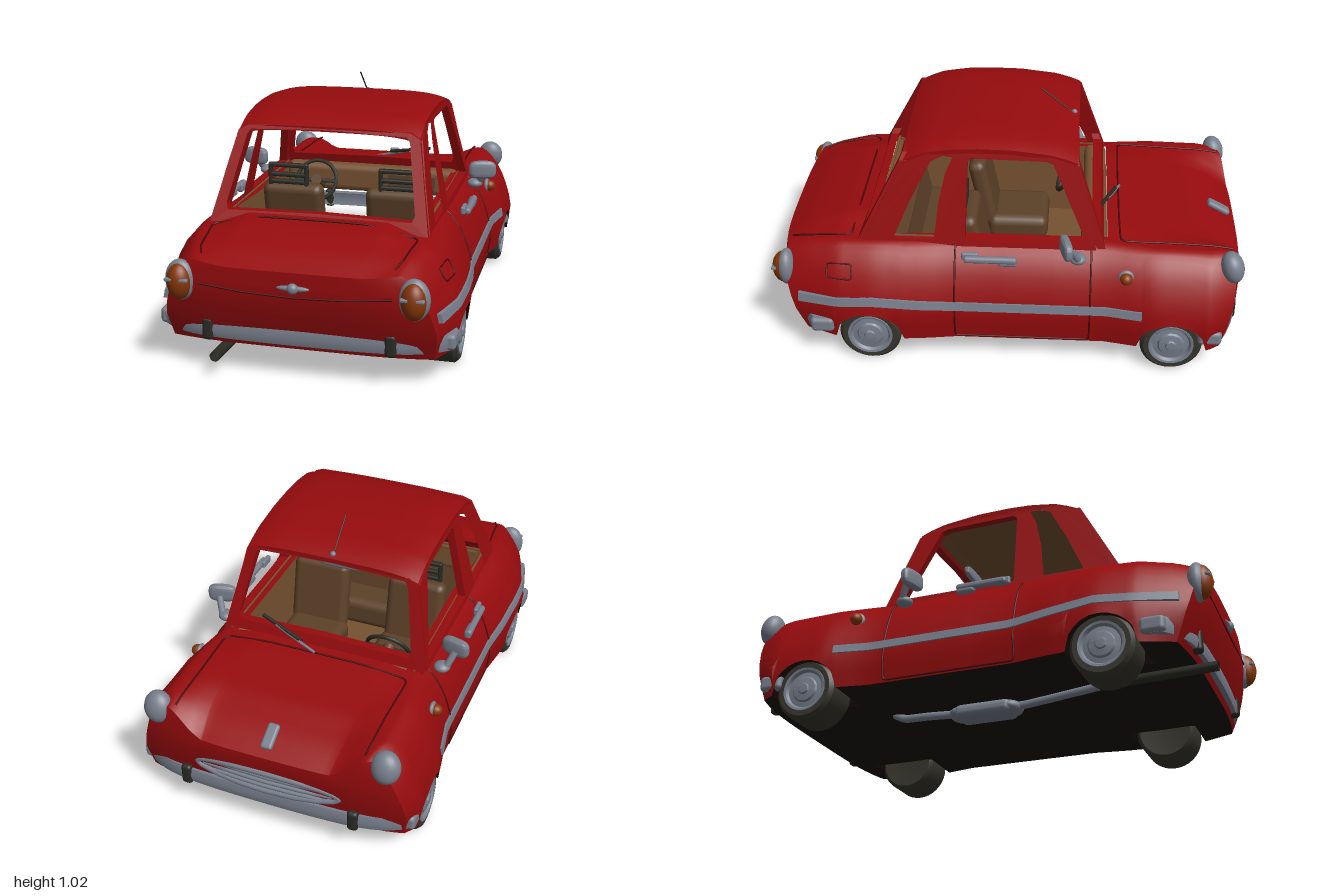
import * as THREE from 'three';
import { mergeVertices, toCreasedNormals } from 'three/addons/utils/BufferGeometryUtils.js';
import { RoundedBoxGeometry } from 'three/addons/geometries/RoundedBoxGeometry.js';

const mat = (name, color, side = THREE.FrontSide) => Object.assign(new THREE.MeshStandardMaterial({ color, side }), { name });
const V = (x, y, z) => new THREE.Vector3(x, y, z);
const clamp = THREE.MathUtils.clamp;

// piecewise linear table lookup
function at(table, t) {
  for (let i = 1; i < table.length; i++) {
    const [a, p] = table[i - 1], [b, q] = table[i];
    if (t <= b) return p + (q - p) * clamp((t - a) / (b - a), 0, 1);
  }
  return table[table.length - 1][1];
}

// body outline: half width along z, width factor by height, top line at centre and at the fenders
const WIDTH = [[-1, .57], [-.93, .59], [-.85, .61], [-.62, .61], [-.42, .572], [.2, .572], [.35, .595], [.55, .612], [.7, .6], [.85, .565], [.96, .54]];
const FLANK = [[0, .975], [.3, 1], [.5, .975], [.7, .925], [.85, .87], [.95, .81], [1, .76]];
const CENTRE = [[-1, .4], [-.9, .46], [-.75, .51], [-.45, .55], [0, .54], [.55, .575], [.7, .56], [.85, .515], [.96, .46]];
const FENDER = [[-1, .5], [-.9, .52], [-.45, .53], [.55, .53], [.7, .525], [.85, .505], [.96, .475]];
const ROOF = [[-.29, .908], [-.25, .925], [-.18, .945], [-.02, .963], [.12, .965], [.22, .96], [.33, .943], [.39, .92], [.43, .9]];
const AXLES = [-.7, .57], WHEEL_R = .13, ARCH = .145;

const deckY = (x, z) => THREE.MathUtils.lerp(at(CENTRE, z), at(FENDER, z), THREE.MathUtils.smoothstep(Math.abs(x), .27, .43));
const sideX = (z, y) => at(WIDTH, z) * at(FLANK, (y - .12) / (at(FENDER, z) - .12));

// move every vertex of a geometry by a rule
function warp(geo, rule) {
  const p = geo.attributes.position;
  for (let i = 0; i < p.count; i++) p.setXYZ(i, ...rule(p.getX(i), p.getY(i), p.getZ(i)));
  geo.computeVertexNormals();
  return geo;
}
function smooth(geo, angle = .7) {
  geo.deleteAttribute('normal');
  geo.deleteAttribute('uv');
  return toCreasedNormals(mergeVertices(geo, 1e-5), angle);
}

function bodyShell() {
  const half = [0, .2, .4, .55, .62, .64, .75, .88, .95, 1];
  const us = [...half.slice(1).reverse().map(u => -u), ...half];
  const vs = [0, .15, .3, .45, .6, .72, .82, .9, .96, 1];
  const ss = [-.992, -.96, -.93, -.89, -.5, -.42, -.36, -.2, 0, .2, .3, .36, .75, .8, .85, .9, .935, .957];
  for (const c of AXLES) for (const k of [0, 2, 3, 4, 5, 6, 7, 8, 9, 10, 12]) ss.push(c + ARCH * Math.cos(k * Math.PI / 12));
  ss.sort((a, b) => a - b);
  const nx = us.length - 1, ny = vs.length - 1, nz = ss.length - 1;
  const geo = new THREE.BoxGeometry(1, 1, 1, nx, ny, nz);
  const p = geo.attributes.position, open = [];
  const pick = (list, n, t) => list[Math.round((t + .5) * n)];
  for (let i = 0; i < p.count; i++) {
    const u = pick(us, nx, p.getX(i)), v = pick(vs, ny, p.getY(i)), s = pick(ss, nz, p.getZ(i));
    open.push(v === 1 && Math.abs(u) <= .881 && s >= -.421 && s <= .571);
    // wheel arches lift the lower edge
    let low = .12;
    if (Math.abs(u) > .63) for (const c of AXLES) {
      const d = ARCH * ARCH - (s - c) ** 2;
      if (d > 0) low = Math.max(low, .12 + Math.sqrt(d) * .9);
    }
    const top = deckY(u * at(WIDTH, s) * .76, s), y = low + (top - low) * v;
    const x = u * at(WIDTH, s) * at(FLANK, (y - .12) / (top - .12));
    // rounded corners and tucked-under lower edge at nose and tail
    const under = clamp((.38 - y) / .26, 0, 1) ** 1.4;
    const tail = clamp((s - .72) / .235, 0, 1) * (.03 * u ** 4 + .08 * under);
    const nose = clamp((-.85 - s) / .142, 0, 1) * (.04 * u ** 4 + .05 * under);
    p.setXYZ(i, x, y, s - tail + nose);
  }
  // leave the cabin open and group the floor apart
  const idx = geo.index.array, floor = geo.groups[3], paint = [], under = [];
  for (let i = 0; i < idx.length; i += 3) {
    const t = [idx[i], idx[i + 1], idx[i + 2]];
    if (t.every(k => open[k])) continue;
    (i >= floor.start && i < floor.start + floor.count ? under : paint).push(...t);
  }
  geo.setIndex([...paint, ...under]);
  geo.clearGroups();
  geo.addGroup(0, paint.length, 0);
  geo.addGroup(paint.length, under.length, 1);
  return smooth(geo);
}

const shapeOf = (pts, holes = []) => {
  const s = new THREE.Shape(pts.map(q => new THREE.Vector2(...q)));
  s.holes = holes.map(h => new THREE.Path(h.map(q => new THREE.Vector2(...q))));
  return s;
};
const extrude = (shape, depth) => new THREE.ExtrudeGeometry(shape, { depth, bevelEnabled: false });
// soft-cornered pad, fuller than an ellipsoid
const puff = t => Math.sign(t) * Math.abs(t) ** .6;
const pad = (a, b, c) => smooth(warp(new THREE.SphereGeometry(1, 28, 18), (x, y, z) => [a * puff(x), b * puff(y), c * puff(z)]), 1);

export function createModel() {
  const car = new THREE.Group();
  car.name = 'car';
  const red = mat('red paint', 0x960b0d), chrome = mat('chrome', 0x787f8c), rubber = mat('tyre rubber', 0x36352c),
    dark = mat('dark trim', 0x2a2a24, THREE.DoubleSide), amber = mat('amber lens', 0x843606), tan = mat('tan lining', 0x765231, THREE.DoubleSide),
    seatMat = mat('seat brown', 0x5c4128), floorMat = mat('underbody', 0x180a08), seam = mat('seam', 0x4a0607);
  const add = (name, geo, m, x = 0, y = 0, z = 0, parent = car) => {
    const mesh = new THREE.Mesh(geo, m);
    mesh.name = name;
    mesh.position.set(x, y, z);
    parent.add(mesh);
    return mesh;
  };
  const rbox = (w, h, d, r = .01) => new RoundedBoxGeometry(w, h, d, 2, r);
  const tube = (name, pts, r, m, closed = false) =>
    add(name, new THREE.TubeGeometry(new THREE.CatmullRomCurve3(pts, closed, 'catmullrom', .15), pts.length * 8, r, 10, closed), m);
  const ball = (name, m, x, y, z, a, b, c) => {
    const mesh = add(name, new THREE.SphereGeometry(1, 24, 16), m, x, y, z);
    mesh.scale.set(a, b, c);
    return mesh;
  };

  add('body', bodyShell(), [red, floorMat]);

  // roof and its lining
  const roofRule = drop => (x, y, z) => [x * .379, at(ROOF, z) - .024 * Math.abs(x) ** 6 - .006 * x * x + y - drop, z];
  const roofBox = h => new THREE.BoxGeometry(2, h, .72, 24, 1, 30).translate(0, 0, .07);
  add('roof', smooth(warp(roofBox(.02), roofRule(.01))), red);
  add('roofLining', warp(roofBox(.003).scale(.93, 1, .95), roofRule(.023)), tan);

  // window frames
  const flank = shapeOf([[-.375, .51], [-.285, .87], [-.25, .885], [-.18, .905], [-.02, .925], [.2, .923], [.33, .905], [.42, .865], [.5, .73], [.58, .56], [.6, .51]], [
    [[.17, .54], [.16, .875], [.145, .892], [-.16, .887], [-.19, .875], [-.335, .54]],
    [[.3, .54], [.28, .7], [.25, .83], [.22, .895], [.26, .9], [.31, .875], [.4, .7], [.47, .54]]]);
  const lean = y => .452 - (y - .54) * .2;
  for (const s of [1, -1])
    add('sideWindowFrame', warp(extrude(flank, .035), (p, q, r) => [s > 0 ? lean(q) - r : .035 - lean(q) - r, q, p]), red);
  const pane = shapeOf([[-.452, .52], [.452, .52], [.38, .872], [.34, .893], [.2, .9], [-.2, .9], [-.34, .893], [-.38, .872]],
    [[[-.39, .6], [-.38, .575], [0, .582], [.38, .575], [.39, .6], [.34, .86], [.325, .878], [0, .888], [-.325, .878], [-.34, .86]]]);
  add('windscreenFrame', warp(extrude(pane, .035), (x, y, r) => [x, y, -.405 + (y - .54) * .33 + r]), red);
  add('rearWindowFrame', warp(extrude(pane, .035), (x, y, r) => [x, y, .578 - (y - .54) * .52 + r]), red);

  // cabin tub
  add('cabinFloor', new THREE.BoxGeometry(.84, .01, .98), tan, 0, .16, .08);
  for (const s of [1, -1]) add('doorCard', new THREE.BoxGeometry(.01, .38, .98), tan, s * .415, .345, .08);
  add('rearBulkhead', new THREE.BoxGeometry(.84, .39, .01), tan, 0, .35, .56);
  add('parcelShelf', new THREE.BoxGeometry(.82, .015, .13), seatMat, 0, .51, .485);
  add('shelfEdge', new THREE.BoxGeometry(.78, .02, .03), tan, 0, .525, .555);
  add('dashboard', rbox(.82, .13, .1, .03), tan, 0, .475, -.37);
  add('gloveBox', rbox(.22, .07, .01, .004), seatMat, .2, .475, -.317);
  add('rearBenchSeat', rbox(.74, .14, .2, .04), seatMat, 0, .24, .36);
  add('rearBenchBack', rbox(.74, .26, .08, .03), seatMat, 0, .38, .46).rotation.x = .2;
  for (const s of [1, -1]) {
    add('seatCushion', rbox(.28, .12, .28, .04), seatMat, s * .22, .25, -.02);
    add('seatBack', rbox(.27, .33, .08, .035), seatMat, s * .23, .42, .14).rotation.x = .2;
    for (const y of [.59, .622, .664]) add('headrestBar', rbox(.17, .02, .025, .008), dark, s * .245, y, .19);
    for (const dx of [-.08, .08]) add('headrestPost', rbox(.018, .1, .025, .007), dark, s * .245 + dx, .624, .19);
  }
  const steering = new THREE.Group();
  steering.name = 'steeringWheel';
  steering.position.set(-.24, .48, -.24);
  steering.rotation.x = -.45;
  car.add(steering);
  add('rim', new THREE.TorusGeometry(.095, .009, 8, 32), dark, 0, 0, 0, steering);
  add('spoke', rbox(.18, .018, .012, .005), dark, 0, 0, 0, steering);
  add('hub', new THREE.CylinderGeometry(.025, .025, .09, 16).rotateX(Math.PI / 2), seatMat, 0, 0, -.035, steering);

  // wheels
  const lathe = pts => new THREE.LatheGeometry(pts.map(q => new THREE.Vector2(...q)), 36);
  const tyre = toCreasedNormals(lathe([[0, -.08], [.085, -.085], [.115, -.088], [WHEEL_R, -.07], [WHEEL_R, .07], [.116, .086], [.09, .085], [.086, .06], [0, .06]]), .7);
  const hubcap = toCreasedNormals(lathe([[.096, .08], [.094, .09], [.084, .088], [.076, .076], [.056, .079], [.05, .087], [.024, .091], [.02, .097], [0, .099]]), .6);
  for (const s of [1, -1]) for (const z of AXLES) {
    const wheel = new THREE.Group();
    wheel.name = 'wheel';
    wheel.position.set(s * .498, WHEEL_R + .003, z);
    wheel.rotation.z = -s * Math.PI / 2;
    car.add(wheel);
    add('tyre', tyre, rubber, 0, 0, 0, wheel);
    add('hubcap', hubcap, chrome, 0, 0, 0, wheel);
  }

  // bumpers, wrapped round the corners
  for (const [name, dir, zc, wrap] of [['rearBumper', 1, .9, .09], ['frontBumper', -1, .968, .07]]) {
    const bend = x => dir * (zc - .02 * (x / .585) ** 2 - wrap * Math.abs(x / .585) ** 6);
    add(name, smooth(warp(new THREE.BoxGeometry(1.17, .066, .04, 32, 2, 1), (x, y, z) => [x, y + .18, bend(x) + z - dir * y * y * 8])), chrome);
    for (const s of [1, -1]) {
      add('bumperGuard', rbox(.046, .095, .055, .015), dark, s * .365, .182, bend(.365));
      add('bumperEnd', rbox(.05, .066, .1, .018), chrome, s * .575, .18, bend(.585) - dir * .02);
    }
  }

  // nose: grille and bonnet trim
  const mouth = Array.from({ length: 16 }, (_, i) => {
    const a = i * Math.PI / 8, x = .31 * Math.cos(a);
    return V(x, .275 + .045 * Math.sin(a), -.986 + .2 * x * x);
  });
  tube('grilleSurround', mouth, .013, chrome, true);
  for (const [y, w] of [[.252, .24], [.275, .28], [.298, .24]])
    tube('grilleBar', [-w, -w / 2, 0, w / 2, w].map(x => V(x, y, -.984 + .2 * x * x)), .009, chrome);
  add('bonnetTrim', rbox(.05, .026, .11, .012), chrome, 0, .46, -.92).rotation.x = -.5;

  // boot handle
  ball('bootHandle', chrome, 0, .4, .957, .065, .012, .012);
  ball('bootKnob', chrome, 0, .4, .96, .022, .022, .02);

  const mirrorPad = pad(.062, .041, .02);
  for (const s of [1, -1]) {
    // lamps
    ball('headlight', chrome, s * .488, .475, -.935, .06, .07, .048).rotation.x = .25;
    ball('tailLightRim', chrome, s * .46, .387, .928, .061, .083, .04);
    ball('tailLightLens', amber, s * .46, .385, .94, .05, .074, .05);
    add('tailLightBand', rbox(.094, .014, .02, .005), chrome, s * .46, .4, .976);
    ball('sideMarkerBase', chrome, s * sideX(-.5, .435), .435, -.5, .015, .033, .033);
    ball('sideMarker', amber, s * (sideX(-.5, .435) + .014), .435, -.5, .028, .026, .026);

    // side strip following the flank
    const stripY = [[-.57, .285], [.2, .285], [.38, .3], [.55, .316], [.7, .303], [.87, .298]];
    add('sideStrip', warp(new THREE.BoxGeometry(1.44, .036, .02, 40, 1, 1), (p, q, r) => {
      const z = .15 - p, y = at(stripY, z) + q;
      return [s * (sideX(z, y) - .002) + r, y, z];
    }), chrome);

    // door handle and mirror
    add('handlePlate', rbox(.02, .035, .07, .008), chrome, s * .518, .508, .145);
    add('doorHandle', rbox(.028, .03, .22, .013), chrome, s * .535, .503, .06);
    add('handleEnd', rbox(.032, .042, .08, .014), chrome, s * .53, .494, -.01);
    tube('mirrorArm', [V(s * .49, .5, -.3), V(s * .52, .51, -.3), V(s * .545, .57, -.27)], .015, chrome);
    ball('mirrorFoot', chrome, s * .5, .5, -.3, .035, .022, .035);
    add('mirror', mirrorPad, chrome, s * .54, .578, -.25).rotation.y = s * .25;

    // door outline
    const edge = (z, y) => V(s * (sideX(z, y) + .001), y, z);
    const ys = [.53, .5, .45, .38, .3, .22, .15];
    tube('doorSeam', [...ys.map(y => edge(.21, y)), edge(.2, .13), edge(0, .13), edge(-.34, .13), ...ys.slice().reverse().map(y => edge(-.355, y))], .004, seam);
  }
  // fuel flap on one flank
  const flap = [[.64, .455], [.74, .45], [.74, .4], [.64, .4]];
  tube('fuelFlapSeam', flap.map(([z, y]) => V(sideX(z, y) + .001, y, z)), .0035, seam, true);

  // bonnet and boot seams
  const onDeck = ([x, z]) => V(x, deckY(x, z) + .003, z);
  const mirrorPath = half => [...half, ...half.slice().reverse().map(([x, z]) => [-x, z])];
  tube('bonnetSeam', mirrorPath([[.405, -.94], [.405, -.85], [.405, -.7], [.41, -.5], [.39, -.475], [.2, -.47]]).map(onDeck), .004, seam);
  tube('bootSeam', mirrorPath([[.38, .91], [.4, .85], [.41, .75], [.42, .67], [.4, .65], [.2, .64]]).map(onDeck), .004, seam);
  tube('bootLowerSeam', [-.38, -.2, 0, .2, .38].map(x => V(x, .362 + .16 * x * x, .956 - .05 * x * x)), .004, seam);

  // rear-view mirror, aerial and wipers
  add('rearViewMirror', pad(.103, .028, .014), chrome, 0, .835, -.19);
  tube('rearViewMirrorStem', [V(0, .84, -.2), V(0, .9, -.24)], .008, chrome);
  tube('aerial', [V(0, .905, -.275), V(0, 1.025, -.125)], .003, dark);
  ball('aerialFoot', chrome, 0, .918, -.268, .012, .012, .012);
  tube('wiperArm', [V(0, .555, -.475), V(.13, .59, -.44), V(.2, .61, -.42)], .006, chrome);
  tube('wiperBlade', [V(.07, .585, -.455), V(.27, .625, -.395)], .008, dark);

  // exhaust
  tube('exhaustPipe', [V(-.2, .125, -.47), V(-.2, .1, -.42), V(-.23, .085, -.3), V(-.24, .07, -.1), V(-.25, .07, .15), V(-.3, .085, .5)], .017, chrome);
  ball('silencerFront', chrome, -.24, .066, -.14, .062, .03, .05);
  ball('silencerRear', chrome, -.24, .066, .08, .062, .03, .05);
  add('silencer', rbox(.13, .058, .25, .026), chrome, -.24, .064, -.03);
  tube('tailPipe', [V(-.3, .085, .48), V(-.32, .09, .96)], .021, dark);
  return car;
}
